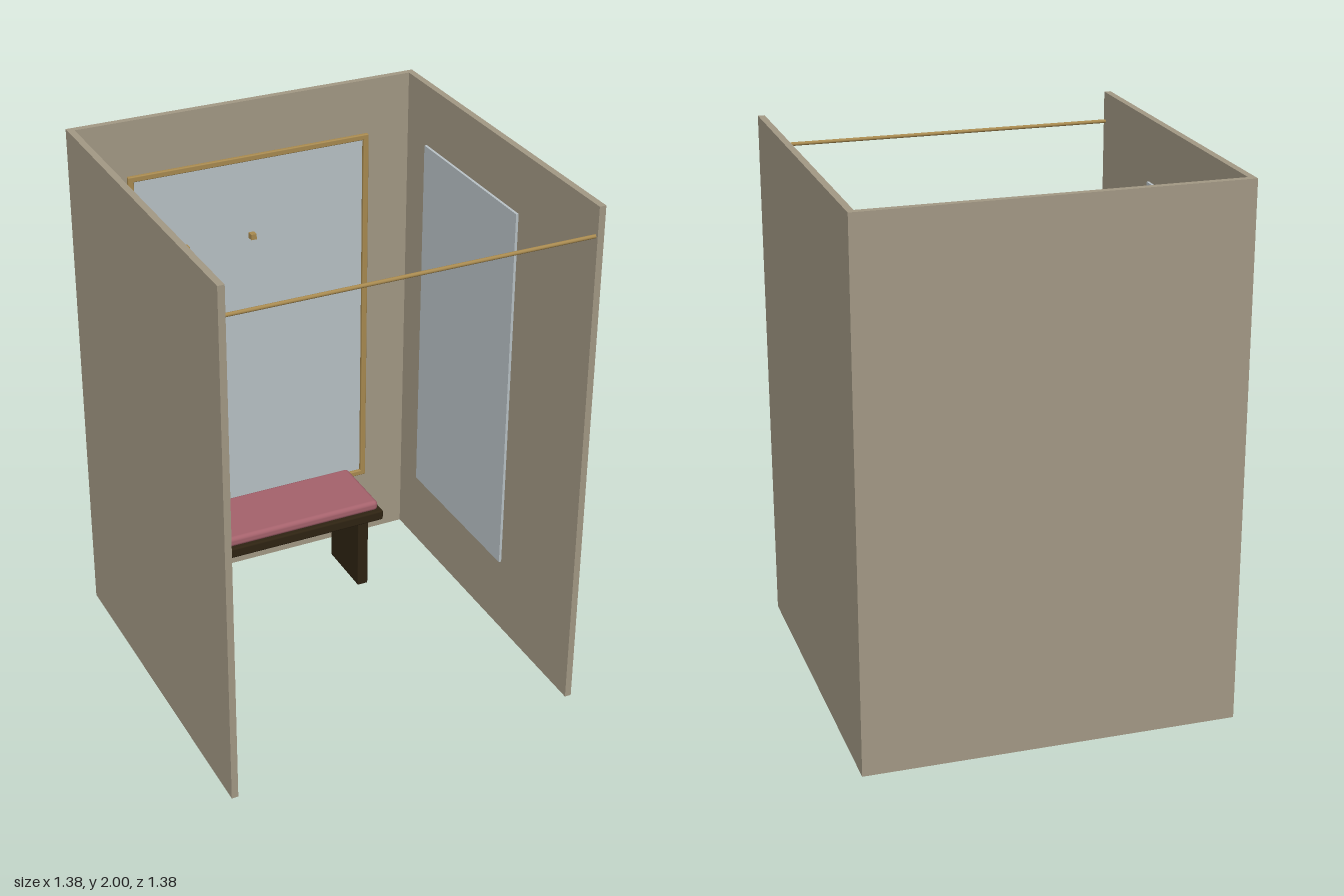
import * as THREE from 'three';
import { RoundedBoxGeometry } from 'three/addons/geometries/RoundedBoxGeometry.js';

const material = (name, color) => {
  const m = new THREE.MeshStandardMaterial({ color });
  m.name = name;
  return m;
};

export function createModel() {
  const wall = material('taupe wall', 0xa39985);
  const glass = material('mirror glass', 0xb9c2c6);
  const brass = material('brass', 0xa88a50);
  const wood = material('dark wood', 0x2e2312);
  const fabric = material('rose fabric', 0xa5626c);

  const model = new THREE.Group();
  model.name = 'fittingRoom';

  const add = (parent, name, geometry, mat, x, y, z) => {
    const mesh = new THREE.Mesh(geometry, mat);
    mesh.name = name;
    mesh.position.set(x, y, z);
    parent.add(mesh);
    return mesh;
  };
  // Box given by its min and max on each axis, optionally with rounded edges
  const block = (parent, name, mat, [x0, x1], [y0, y1], [z0, z1], radius = 0) => {
    const size = [x1 - x0, y1 - y0, z1 - z0];
    const geometry = radius
      ? new RoundedBoxGeometry(...size, 3, radius)
      : new THREE.BoxGeometry(...size);
    return add(parent, name, geometry, mat, (x0 + x1) / 2, (y0 + y1) / 2, (z0 + z1) / 2);
  };
  const span = (side, a, b) => (side > 0 ? [a, b] : [-b, -a]);

  // Three walls, open at the front, top and floor
  block(model, 'backWall', wall, [-0.69, 0.69], [0, 2], [-0.69, -0.665]);
  for (const side of [-1, 1]) {
    const label = side > 0 ? 'left' : 'right';
    block(model, label + 'Wall', wall, span(side, 0.665, 0.69), [0, 2], [-0.665, 0.69]);
    block(model, label + 'Mirror', glass, span(side, 0.65, 0.66), [0.305, 1.77], [-0.5, 0.19]);
  }

  // Back mirror with its brass frame
  const mirror = new THREE.Group();
  mirror.name = 'backMirror';
  model.add(mirror);
  block(mirror, 'backGlass', glass, [-0.465, 0.465], [0.3, 1.78], [-0.665, -0.652]);
  const depth = [-0.652, -0.636];
  for (const y of [0.29, 1.773]) {
    block(mirror, 'frameRail', brass, [-0.485, 0.485], [y, y + 0.022], depth, 0.004);
  }
  for (const side of [-1, 1]) {
    block(mirror, 'frameStile', brass, span(side, 0.463, 0.485), [0.305, 1.78], depth, 0.004);
  }

  // Row of coat hooks
  for (const x of [-0.54, -0.27, 0]) {
    block(model, 'hook', brass, [x - 0.011, x + 0.011], [1.457, 1.479], [-0.665, -0.625]);
  }

  // Curtain rod across the entrance
  const rod = add(model, 'curtainRod',
    new THREE.CylinderGeometry(0.007, 0.007, 1.33, 16), brass, 0, 1.888, 0.675);
  rod.rotation.z = Math.PI / 2;

  // Bench with panel legs and a padded cushion
  const bench = new THREE.Group();
  bench.name = 'bench';
  model.add(bench);
  block(bench, 'seat', wood, [-0.385, 0.385], [0.305, 0.348], [-0.58, -0.272], 0.008);
  block(bench, 'cushion', fabric, [-0.37, 0.37], [0.344, 0.386], [-0.57, -0.287], 0.016);
  for (const side of [-1, 1]) {
    block(bench, 'leg', wood, span(side, 0.288, 0.332), [0, 0.31], [-0.55, -0.3], 0.004);
  }
  return model;
}
